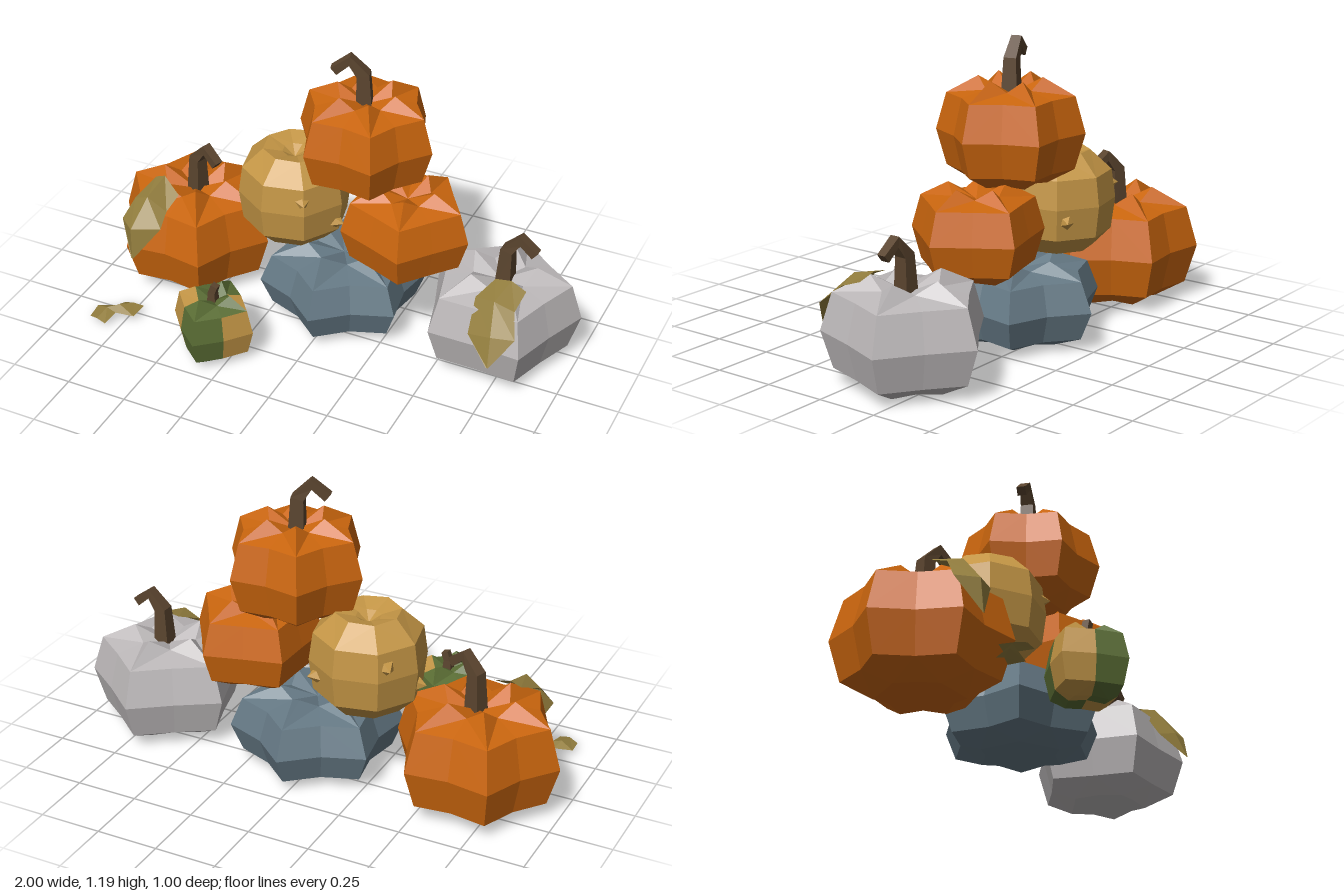
import * as THREE from 'three';

const paint = (name, color, extra = {}) => Object.assign(new THREE.MeshStandardMaterial({ color, ...extra }), { name });

// Faceted skin over a list of closed rings; pick(column, band) chooses a material slot
function loft(rings, pick = () => 0) {
  const pos = [], slots = [], n = rings[0].length;
  const tri = (a, b, c, slot) => {
    const area = new THREE.Vector3().subVectors(b, a).cross(new THREE.Vector3().subVectors(c, a)).length();
    if (area < 1e-9) return;
    for (const p of [a, b, c]) pos.push(p.x, p.y, p.z);
    slots.push(slot);
  };
  for (let i = 0; i < rings.length - 1; i++) {
    for (let j = 0; j < n; j++) {
      const k = (j + 1) % n, [a, b, c, d] = [rings[i][j], rings[i][k], rings[i + 1][k], rings[i + 1][j]];
      // alternate the diagonal so that lobes stay symmetrical
      if (j % 2) { tri(a, d, b, pick(j, i)); tri(d, c, b, pick(j, i)); }
      else { tri(a, d, c, pick(j, i)); tri(a, c, b, pick(j, i)); }
    }
  }
  const g = new THREE.BufferGeometry();
  g.setAttribute('position', new THREE.Float32BufferAttribute(pos, 3));
  slots.forEach((s, i) => g.addGroup(i * 3, 3, s));
  g.computeVertexNormals();
  return g;
}

// Lobed body: ring = [radius, lobe height, valley height] as fractions
const PROFILE = [[0, 0.05, 0.05], [0.5, 0, 0.02], [0.86, 0.14, 0.14], [1, 0.48, 0.48],
  [0.86, 0.83, 0.83], [0.43, 1, 0.89], [0, 0.84, 0.84]];
const ROUND = [[0, 0.05, 0.05], [0.62, 0, 0], [0.93, 0.18, 0.18], [1, 0.5, 0.5],
  [0.93, 0.79, 0.79], [0.56, 1, 0.99], [0.22, 0.94, 0.94], [0, 0.86, 0.86]];

function body({ r, h, lobes, ratio = 0.8, turn = 0, profile = PROFILE }, pick) {
  const n = lobes * 2;
  const rings = profile.map(([f, yl, yv]) => Array.from({ length: n }, (_, j) => {
    const a = turn * Math.PI / 180 + j / n * Math.PI * 2, valley = j % 2;
    const q = r * f * (valley ? ratio : 1);
    return new THREE.Vector3(q * Math.cos(a), h * (valley ? yv : yl), q * Math.sin(a));
  }));
  return loft(rings, pick);
}

// Square stem that rises, leans over and droops; path = [reach, height, half width]
const STEM = [[0, -0.04, 0.032], [0.005, 0.12, 0.025], [0.058, 0.18, 0.02], [0.12, 0.13, 0.018]];
function stemGeometry(path) {
  const ring = (i, w) => {
    const a = path[Math.max(i - 1, 0)], b = path[Math.min(i + 1, path.length - 1)], p = path[i];
    const l = Math.hypot(b[0] - a[0], b[1] - a[1]), nx = (b[1] - a[1]) / l, ny = -(b[0] - a[0]) / l;
    return [[1, -1], [1, 1], [-1, 1], [-1, -1]].map(([s, t]) =>
      new THREE.Vector3(p[0] + nx * s * w, p[1] + ny * s * w, t * w));
  };
  const rings = path.map((p, i) => ring(i, p[2]));
  return loft([ring(0, 0), ...rings, ring(path.length - 1, 0)]);
}

// Folded leaf from rows of [left, middle, right] points
function leafGeometry(rows) {
  const pos = [];
  for (let i = 0; i < rows.length - 1; i++) {
    for (let j = 0; j < 2; j++) {
      const [a, b, c, d] = [rows[i][j], rows[i][j + 1], rows[i + 1][j + 1], rows[i + 1][j]];
      pos.push(...a, ...d, ...c, ...a, ...c, ...b);
    }
  }
  const g = new THREE.BufferGeometry();
  g.setAttribute('position', new THREE.Float32BufferAttribute(pos, 3));
  g.computeVertexNormals();
  return g;
}

export function createModel() {
  const model = new THREE.Group();
  model.name = 'pumpkinPile';
  const orange = paint('orange', 0xcb660e), white = paint('paleGrey', 0xbdb9ba), blue = paint('slateBlue', 0x667a86);
  const tan = paint('tan', 0xc39545), green = paint('green', 0x5a6d34), brown = paint('stemBrown', 0x5a442e);
  const olive = paint('dryLeaf', 0x937e3e, { side: THREE.DoubleSide });
  for (const m of [orange, white, blue, tan, green, brown, olive]) m.flatShading = true;

  const add = (name, geometry, material, x = 0, y = 0, z = 0) => {
    const mesh = new THREE.Mesh(geometry, material);
    mesh.name = name;
    mesh.position.set(x, y, z);
    model.add(mesh);
    return mesh;
  };
  const single = (g) => { g.clearGroups(); return g; };

  // Large pumpkins
  const pumpkins = [
    ['leftPumpkin', orange, [-0.665, 0, -0.16], { r: 0.335, h: 0.465, lobes: 6, turn: 1 }],
    ['topPumpkin', orange, [0.095, 0.645, -0.173], { r: 0.285, h: 0.405, lobes: 6, turn: 2 }],
    ['rightPumpkin', orange, [0.286, 0.31, -0.157], { r: 0.265, h: 0.36, lobes: 5, turn: 3 }],
    ['palePumpkin', white, [0.689, 0, -0.157], { r: 0.323, h: 0.42, lobes: 5, turn: -88, ratio: 0.79 }],
    ['bluePumpkin', blue, [0.016, 0, -0.157], { r: 0.342, h: 0.33, lobes: 6, turn: 30, ratio: 0.78 }],
    ['tanPumpkin', tan, [-0.212, 0.325, -0.175], { r: 0.229, h: 0.39, lobes: 4, turn: 10, ratio: 1, profile: ROUND }],
  ];
  for (const [name, material, p, shape] of pumpkins) add(name, single(body(shape)), material, ...p);

  // Warts on the tan pumpkin: [angle, height]
  const wart = new THREE.ConeGeometry(0.036, 0.045, 5);
  for (const [deg, y] of [[56, 0.575], [180, 0.45], [12, 0.435], [225, 0.57], [315, 0.47]]) {
    const a = deg * Math.PI / 180, dir = new THREE.Vector3(Math.cos(a), 0, Math.sin(a));
    const m = add('wart', wart, tan, -0.212 + dir.x * 0.222, y, -0.175 + dir.z * 0.222);
    m.quaternion.setFromUnitVectors(new THREE.Vector3(0, 1, 0), dir);
  }

  // Striped gourd: side lobes tan, half of their shoulders tan too, the rest green
  const gourd = body({ r: 0.175, h: 0.29, lobes: 4, ratio: 0.77 }, (j, band) => {
    const sideLobe = Math.floor((j + 1) / 2) % 2 === 0;
    return sideLobe && (band < 4 || (band === 4 && j % 2)) ? 1 : 0;
  });
  add('stripedGourd', gourd, [green, tan], -0.33, 0, 0.325);

  // Stems: [x, y, z, turn in degrees]
  const stem = single(stemGeometry(STEM));
  for (const [x, y, z, deg] of [[-0.655, 0.425, -0.165, -18], [0.09, 0.995, -0.173, -163], [0.705, 0.38, -0.16, -2]]) {
    add('stem', stem, brown, x, y, z).rotation.y = deg * Math.PI / 180;
  }
  const smallStem = single(stemGeometry([[0, -0.02, 0.02], [0, 0.05, 0.015], [0.012, 0.085, 0.014]]));
  add('gourdStem', smallStem, brown, -0.328, 0.238, 0.325);

  // Dry leaves
  add('rightLeaf', leafGeometry([
    [[0.7, 0.42, -0.06], [0.765, 0.43, -0.06], [0.83, 0.405, -0.05]],
    [[0.655, 0.38, 0.03], [0.74, 0.4, 0.055], [0.82, 0.37, 0.045]],
    [[0.66, 0.26, 0.11], [0.76, 0.29, 0.135], [0.855, 0.3, 0.125]],
    [[0.765, 0.18, 0.18], [0.77, 0.18, 0.18], [0.775, 0.18, 0.18]],
  ]), olive);
  add('leftLeaf', leafGeometry([
    [[-0.79, 0.47, -0.06], [-0.75, 0.485, -0.06], [-0.66, 0.445, -0.01]],
    [[-0.83, 0.42, 0.05], [-0.76, 0.455, 0.07], [-0.68, 0.4, 0.06]],
    [[-0.865, 0.34, 0.1], [-0.79, 0.345, 0.165], [-0.67, 0.36, 0.13]],
    [[-0.79, 0.21, 0.175], [-0.785, 0.21, 0.175], [-0.78, 0.21, 0.175]],
  ]), olive);
  add('groundLeaf', leafGeometry([
    [[-0.795, 0.025, 0.235], [-0.75, 0.04, 0.24], [-0.71, 0.03, 0.23]],
    [[-0.815, 0.03, 0.275], [-0.79, 0.05, 0.285], [-0.715, 0.025, 0.305]],
    [[-0.885, 0.025, 0.3], [-0.83, 0.045, 0.32], [-0.79, 0.03, 0.32]],
    [[-0.88, 0.02, 0.37], [-0.84, 0.03, 0.385], [-0.8, 0.02, 0.39]],
  ]), olive);

  return model;
}
